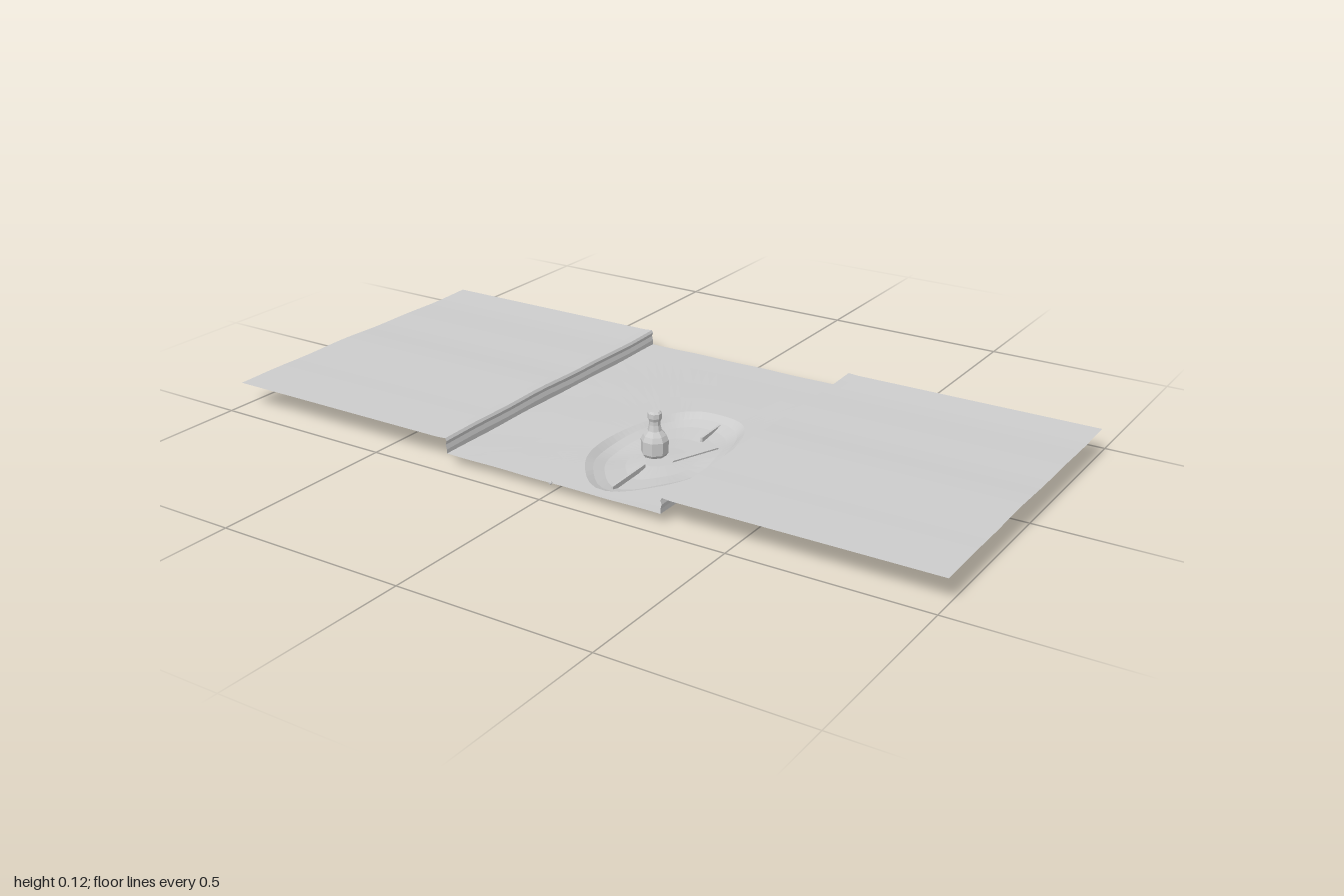
import * as THREE from 'three';

const material = new THREE.MeshStandardMaterial({ color: 0xcccccc, flatShading: true, side: THREE.DoubleSide });
const Z0 = -0.46, Z1 = 0.455, X0 = -0.31, X1 = 0.305;

// Gentle unevenness of the ground
const wave = (x, z) => 0.0015 * Math.sin(z * 9 + 0.8) + 0.001 * Math.sin(z * 23 + x * 5);
const roadHeight = (x, z) => 0.032 + 0.7 * wave(x, z) + 0.0006 * Math.sin(x * 31);

// Skin equally long rows of points; each row may be closed by repeating its first point
function loft(name, rows) {
  const n = rows[0].length, index = [];
  for (let i = 0; i < rows.length - 1; i++) {
    for (let j = 0; j < n - 1; j++) {
      const a = i * n + j, b = a + 1, c = a + n, d = c + 1;
      index.push(a, b, c, b, d, c);
    }
  }
  const geometry = new THREE.BufferGeometry();
  geometry.setAttribute('position', new THREE.Float32BufferAttribute(rows.flat(2), 3));
  geometry.setIndex(index);
  geometry.computeVertexNormals();
  const mesh = new THREE.Mesh(geometry, material);
  mesh.name = name;
  return mesh;
}

// Raised pavement with a lipped curb dropping to the road
function pavement(name, edge, side) {
  const profile = [[edge, 0.032], [edge, 0.044], [edge + side * 0.003, 0.056],
    [edge, 0.066], [edge + side * 0.004, 0.073], [edge + side * 0.03, 0.071],
    [side * 0.65, 0.071], [side, 0.071]];
  const rows = [];
  for (let i = 0; i <= 18; i++) {
    const z = THREE.MathUtils.lerp(Z0, Z1, i / 18);
    const row = profile.map(([x, y], k) => [x, k === 0 ? roadHeight(x, z) : y + wave(0, z), z]);
    rows.push(side > 0 ? row : row.reverse());
  }
  return loft(name, rows);
}

// Road spreading from the rectangular border down into an oval pit
function roadAndPit() {
  const cx = 0.12, cz = 0.147, rx = 0.155, rz = 0.268;
  const corners = [[X0, Z0], [X1, Z0], [X1, Z1], [X0, Z1]];
  const border = [];
  corners.forEach(([x, z], c) => {
    const [nx, nz] = corners[(c + 1) % 4], steps = 18;
    for (let i = 0; i < steps; i++) {
      border.push([THREE.MathUtils.lerp(x, nx, i / steps), THREE.MathUtils.lerp(z, nz, i / steps)]);
    }
  });
  border.push(border[0]);

  const oval = ([px, pz], s) => {
    const a = Math.atan2((pz - cz) / rz, (px - cx) / rx);
    const r = s * (1 + 0.025 * Math.sin(a * 5));
    return [cx + rx * r * Math.cos(a), cz + rz * r * Math.sin(a)];
  };
  const roadRows = [0, 0.25, 0.5, 0.75, 1].map(t => border.map(p => {
    const [ox, oz] = oval(p, 1);
    const x = THREE.MathUtils.lerp(p[0], ox, t), z = THREE.MathUtils.lerp(p[1], oz, t);
    return [x, roadHeight(x, z), z];
  }));
  const pitRows = [[1, 0], [0.9, 0.012], [0.76, 0.021], [0.5, 0.025], [0.25, 0.022], [0.001, 0.021]]
    .map(([s, depth]) => border.map(p => {
      const [x, z] = oval(p, s);
      const bump = s < 0.95 ? 0.003 * Math.sin(z * 24) * Math.cos(x * 26) : 0;
      return [x, Math.max(0, roadHeight(x, z) - depth + bump), z];
    }));
  return [loft('road', roadRows.map(r => r.reverse())), loft('pit', pitRows.map(r => r.reverse()))];
}

function addMesh(parent, name, geometry, x, y, z) {
  const mesh = new THREE.Mesh(geometry, material);
  mesh.name = name;
  mesh.position.set(x, y, z);
  parent.add(mesh);
  return mesh;
}

export function createModel() {
  const group = new THREE.Group();
  group.add(pavement('leftPavement', X1, 1), pavement('rightPavement', X0, -1), ...roadAndPit());

  // Small post with a broad foot, narrow neck and rounded cap
  const profile = [[0, 0], [0.026, 0], [0.034, 0.012], [0.035, 0.045], [0.029, 0.058],
    [0.018, 0.07], [0.0145, 0.085], [0.0145, 0.095], [0.018, 0.103], [0.018, 0.115], [0.013, 0.12], [0, 0.12]]
    .map(([r, y]) => new THREE.Vector2(r, y));
  addMesh(group, 'post', new THREE.LatheGeometry(profile, 8, Math.PI / 8), 0.092, 0.008, 0.15);

  // Broken slab leaning in the pit
  const slab = new THREE.Shape([[0, -0.08], [0.045, 0.06], [0, 0.08]].map(p => new THREE.Vector2(...p)));
  const slabMesh = addMesh(group, 'brokenSlab',
    new THREE.ExtrudeGeometry(slab, { depth: 0.004, bevelEnabled: false }), 0.163, 0.019, 0.1);
  slabMesh.rotation.set(-Math.PI / 2, 0.12, 0);

  // Thin ridges along the pit floor
  for (const [x, z, length] of [[0.14, -0.04, 0.11], [0.115, 0.3, 0.15]]) {
    addMesh(group, 'crackRidge', new THREE.BoxGeometry(0.006, 0.012, length), x, 0.014, z).rotation.y = 0.05;
  }

  // Pebble on the front edge
  addMesh(group, 'pebble', new THREE.IcosahedronGeometry(0.005, 0), 0, 0.031, 0.455);
  return group;
}
